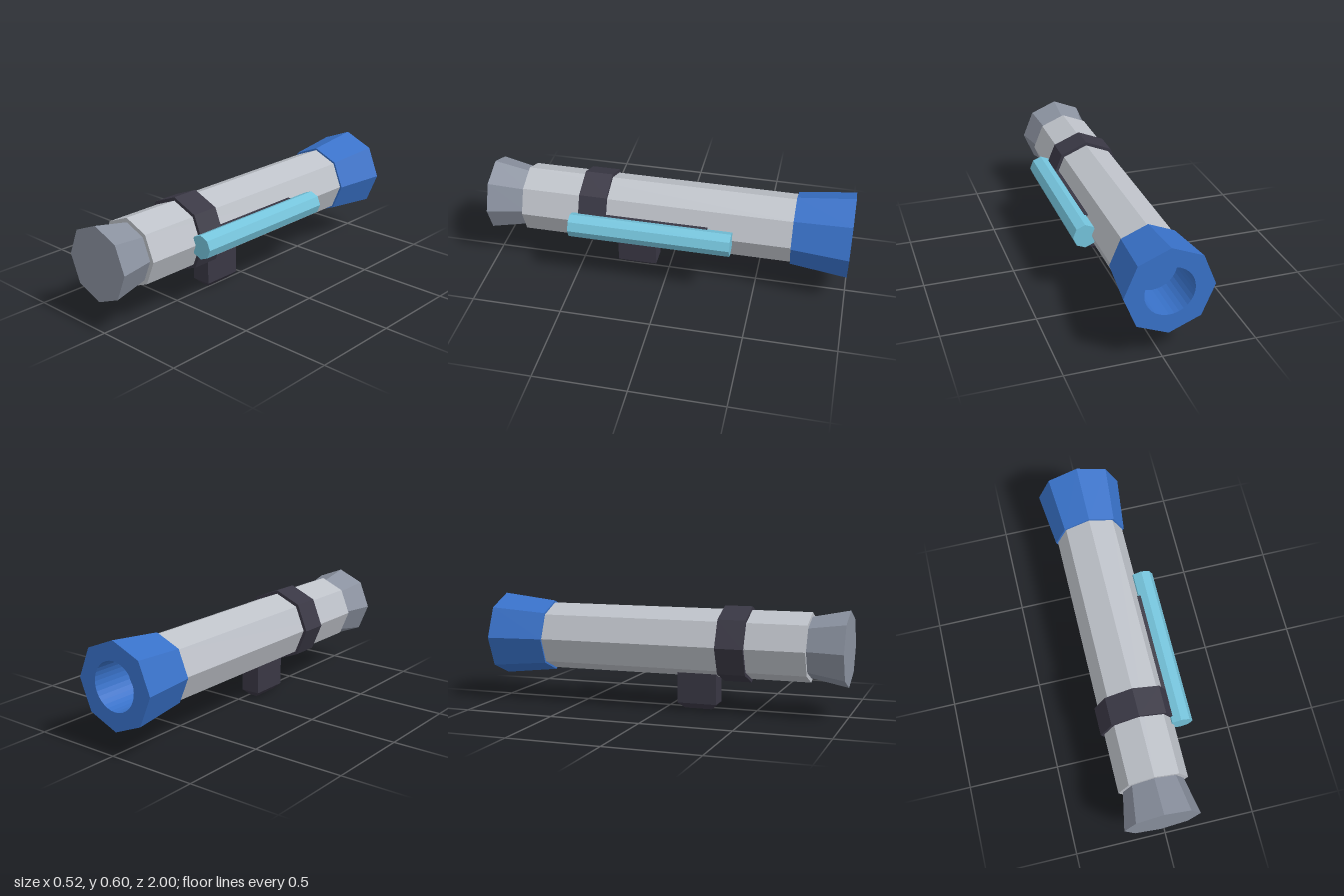
import * as THREE from 'three';

const CX = -0.028, CY = 0.367; // main tube axis

function material(name, color, flat = true) {
  const m = new THREE.MeshStandardMaterial({ color, flatShading: flat });
  m.name = name;
  return m;
}

// Octagonal tube along z, with one corner pointing straight up
function octagon(rFront, rBack, zFront, zBack, open = false) {
  const g = new THREE.CylinderGeometry(rFront, rBack, zFront - zBack, 8, 1, open);
  g.rotateX(Math.PI / 2);
  g.translate(0, 0, (zFront + zBack) / 2);
  return g;
}

// Box whose lower rim is chamfered on all four sides
function chamferedBlock(w, d, yTop, yChamfer, inset) {
  const shape = new THREE.CylinderGeometry(1, 1, 1, 4, 2);
  shape.rotateY(Math.PI / 4);
  const p = shape.attributes.position;
  for (let i = 0; i < p.count; i++) {
    const level = Math.round((p.getY(i) + 0.5) * 2); // 0 bottom, 1 chamfer, 2 top
    const cut = level === 0 ? inset : 0;
    const y = [0, yChamfer, yTop][level];
    const x = Math.abs(p.getX(i)) < 0.1 ? 0 : Math.sign(p.getX(i));
    const z = Math.abs(p.getZ(i)) < 0.1 ? 0 : Math.sign(p.getZ(i));
    p.setXYZ(i, x * (w / 2 - cut), y, z * (d / 2 - cut));
  }
  shape.computeVertexNormals();
  return shape;
}

export function createModel() {
  const grey = material('light grey', 0xbdc1c8);
  const slate = material('slate grey', 0x8a919f);
  const dark = material('charcoal', 0x393744);
  const blue = material('blue', 0x3871c8);
  const cyan = material('cyan', 0x74c3db);

  const model = new THREE.Group();
  model.name = 'launcher';
  const add = (name, geometry, mat, x = CX, y = CY, z = 0, parent = model) => {
    const mesh = new THREE.Mesh(geometry, mat);
    mesh.name = name;
    mesh.position.set(x, y, z);
    parent.add(mesh);
    return mesh;
  };

  // Main tube, front flare and clamp band
  add('body', octagon(0.188, 0.188, 0.8, -0.72), grey);
  add('frontFlare', octagon(0.204, 0.162, 1, 0.79), slate);
  add('clampBand', octagon(0.207, 0.207, 0.475, 0.322), dark);

  // Hollow rear bell
  const bell = new THREE.Group();
  bell.name = 'rearBell';
  model.add(bell);
  const R = 0.234, BORE = 0.13, BORE_END = -0.77;
  add('bellShell', octagon(0.199, R, -0.69, -1, true), blue, CX, CY, 0, bell);

  const collar = new THREE.CircleGeometry(0.199, 8);
  add('bellCollar', collar, blue, CX, CY, -0.69, bell);

  const rim = new THREE.Shape();
  for (let i = 0; i < 8; i++) {
    const a = i * Math.PI / 4;
    rim[i ? 'lineTo' : 'moveTo'](R * Math.cos(a), R * Math.sin(a));
  }
  rim.closePath();
  rim.holes.push(new THREE.Path().absarc(0, 0, BORE, 0, Math.PI * 2, true));
  const rimGeometry = new THREE.ShapeGeometry(rim, 16);
  rimGeometry.rotateY(Math.PI);
  add('bellRim', rimGeometry, blue, CX, CY, -1, bell);

  // Bore wall: mirrored in x so that its faces look inward
  const bore = new THREE.CylinderGeometry(BORE, BORE, 1 + BORE_END, 32, 1, true);
  bore.rotateX(Math.PI / 2);
  const index = bore.index.array;
  for (let i = 0; i < index.length; i += 3) {
    [index[i], index[i + 1]] = [index[i + 1], index[i]];
  }
  bore.computeVertexNormals();
  add('bore', bore, blue, CX, CY, (BORE_END - 1) / 2, bell);
  const boreEnd = new THREE.CircleGeometry(BORE, 32);
  boreEnd.rotateY(Math.PI);
  add('boreEnd', boreEnd, blue, CX, CY, BORE_END, bell);

  // Side sight on its mounting rail
  add('sightTube', octagon(0.066, 0.066, 0.51, -0.375), cyan, 0.195, 0.368);
  add('sightRail', new THREE.BoxGeometry(0.11, 0.104, 0.64), dark, 0.125, CY, 0.08);

  // Hand grip
  add('grip', chamferedBlock(0.11, 0.22, 0.25, 0.033, 0.033), dark, CX, 0, 0.18);

  return model;
}
